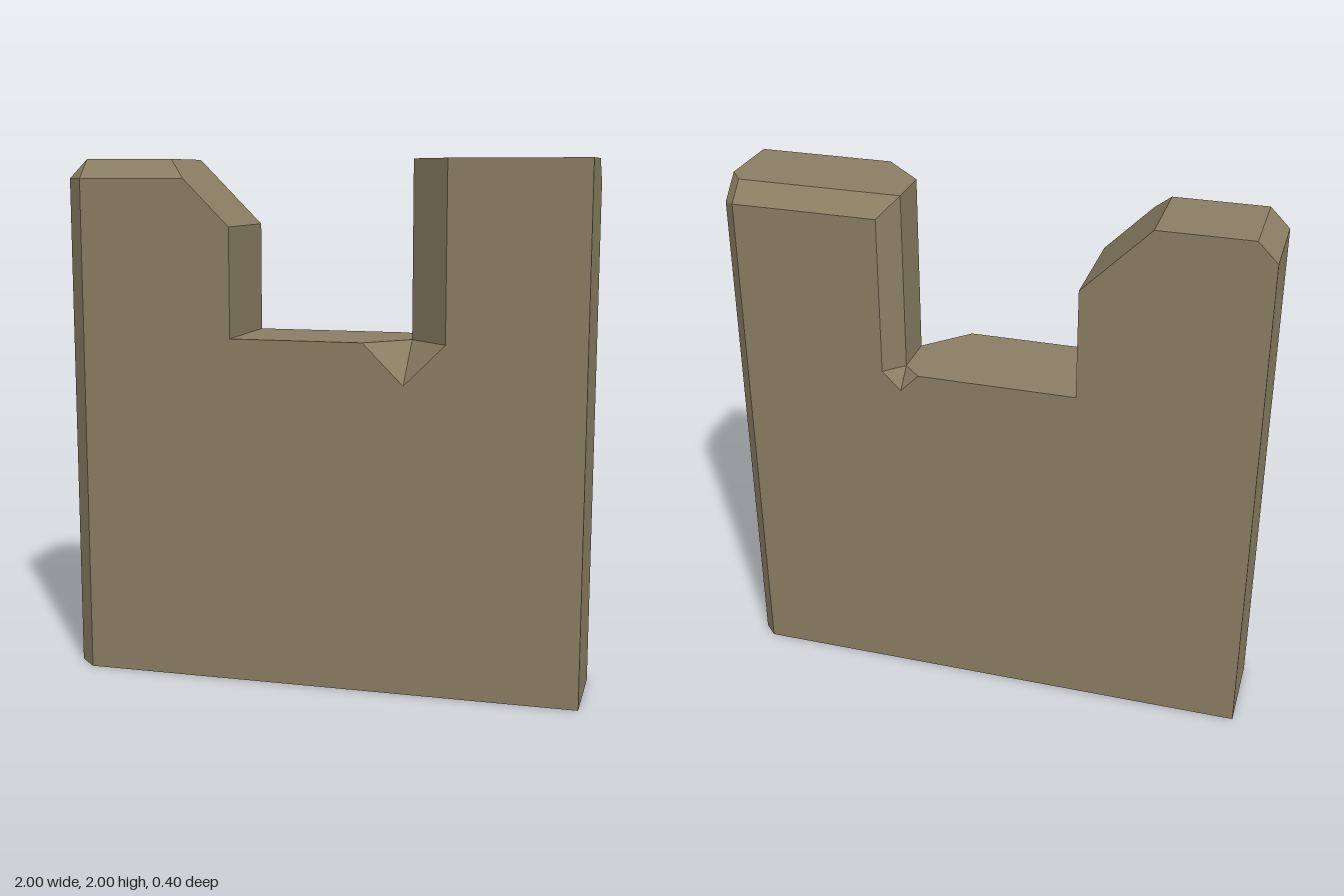
import * as THREE from 'three';

const F = 0.2, B = -0.2;          // front and back planes
const N = 1 / 3, S = 4 / 3;       // notch half width and sill height
const C = 0.073, E = 0.07;        // left merlon bevel, rear bevel
const D = 0.155;                  // front jamb bevel
const SX = -N - 0.25;             // top of the sloped shoulder
const RX = 0.95, RZ = B + 0.05;   // rear right corner bevel
const stone = new THREE.MeshStandardMaterial({ color: 0x8b7f64 });
stone.name = 'stone';

// Flat polygon turned to face the given outward direction
function face(out, pts) {
  const p = pts.map((a) => new THREE.Vector3(...a));
  const n = new THREE.Vector3();
  p.forEach((a, i) => n.add(a.clone().cross(p[(i + 1) % p.length])));
  if (n.dot(new THREE.Vector3(...out)) < 0) { p.reverse(); n.negate(); }
  n.normalize();
  const u = p[1].clone().sub(p[0]).normalize();
  const v = n.clone().cross(u);
  const flat = p.map((a) => new THREE.Vector2(a.dot(u), a.dot(v)));
  const tris = THREE.ShapeUtils.triangulateShape(flat, []);
  return tris.flat().flatMap((i) => p[i].toArray());
}

// One mesh from several [outward direction, corners] faces
function part(name, faces) {
  const g = new THREE.BufferGeometry();
  const data = faces.flatMap(([out, pts]) => face(out, pts));
  g.setAttribute('position', new THREE.Float32BufferAttribute(data, 3));
  g.computeVertexNormals();
  const mesh = new THREE.Mesh(g, stone);
  mesh.name = name;
  return mesh;
}

const atZ = (z, pts) => pts.map(([x, y]) => [x, y, z]);
const atY = (y, pts) => pts.map(([x, z]) => [x, y, z]);
const atX = (x, pts) => pts.map(([y, z]) => [x, y, z]);

export function createModel() {
  const model = new THREE.Group();
  model.name = 'notchedWall';

  // Broad faces, with the notch and its chipped corner in the outline
  model.add(part('frontFace', [[[0, 0, 1], atZ(F, [
    [-1 + C, 0], [1, 0], [1, 2], [N + D, 2], [N + D, S], [N, S - D], [N - D, S],
    [-N, S], [-N, 1.75], [SX + C, 2 - C], [-1 + C, 2 - C]])]]));
  model.add(part('backFace', [[[0, 0, -1], atZ(B, [
    [-1, 0], [RX, 0], [RX, 2 - E], [N + E, 2 - E], [N + E, S], [N, S - E], [N - E, S],
    [-N, S], [-N, 1.75], [SX, 2], [-1 + C, 2], [-1, 2 - C]])]]));

  // Underside and the two ends
  model.add(part('underside', [[[0, -1, 0], atY(0, [
    [-1, B], [-1, F - C], [-1 + C, F], [1, F], [1, RZ], [RX, B]])]]));
  model.add(part('ends', [
    [[-1, 0, 0], atX(-1, [[0, B], [0, F - C], [2 - C, F - C], [2 - C, B]])],
    [[1, 0, 0], atX(1, [[0, F], [0, RZ], [1.915, RZ], [2, -0.065], [2, F]])],
  ]));

  // Tops of the two merlons
  model.add(part('merlonTops', [
    [[0, 1, 0], atY(2, [[-1 + C, B], [-1 + C, F - C], [SX, F - C], [SX, B]])],
    [[0, 1, 0], atY(2, [[N, B + E], [N, F - D], [N + D, F], [1, F], [1, -0.065], [RX, B + E]])],
  ]));

  // Bevels on the merlon at -x, meeting in a small triangle
  model.add(part('slopedMerlonBevels', [
    [[-1, 0, 1], [[-1, 0, F - C], [-1 + C, 0, F], [-1 + C, 2 - C, F], [-1, 2 - C, F - C]]],
    [[-1, 1, 0], [[-1, 2 - C, B], [-1, 2 - C, F - C], [-1 + C, 2, F - C], [-1 + C, 2, B]]],
    [[-1, 1, 1], [[-1, 2 - C, F - C], [-1 + C, 2 - C, F], [-1 + C, 2, F - C]]],
    [[0, 1, 1], [[-1 + C, 2, F - C], [SX, 2, F - C], [SX + C, 2 - C, F], [-1 + C, 2 - C, F]]],
  ]));
  model.add(part('slopedShoulder', [[[1, 1, 0], [
    [SX, 2, B], [SX, 2, F - C], [SX + C, 2 - C, F], [-N, 1.75, F], [-N, 1.75, B]]]]));

  // Notch walls and sill
  model.add(part('notch', [
    [[1, 0, 0], atX(-N, [[S, B], [S, F], [1.75, F], [1.75, B]])],
    [[-1, 0, 0], atX(N, [[S, B + E], [S, F - D], [2, F - D], [2, B + E]])],
    [[0, 1, 0], atY(S, [[-N, B], [-N, F], [N - D, F], [N, F - D], [N, B + E], [N - E, B]])],
  ]));

  // Jamb bevel and chipped pit below it, on the front and the back
  for (const [name, z, d, s, top] of [['front', F, D, 1, 2], ['back', B, E, -1, 2 - E]]) {
    const apex = [N, S, z - s * d];
    model.add(part(name + 'JambBevel', [
      [[-1, 0, s], [apex, [N + d, S, z], [N + d, top, z], [N, 2, z - s * d]]],
      [[1, 1, s], [[N - d, S, z], [N, S - d, z], apex]],
      [[-1, 1, s], [[N + d, S, z], [N, S - d, z], apex]],
    ]));
  }

  // Rear bevels of the merlon at +x
  model.add(part('rearBevels', [
    [[0, 1, -1], [[N, 2, B + E], [RX, 2, B + E], [RX, 2 - E, B], [N + E, 2 - E, B]]],
    [[1, 1, -1], [[RX, 2, B + E], [1, 2, -0.065], [1, 1.915, RZ], [RX, 2 - E, B]]],
    [[1, 0, -1], [[RX, 0, B], [1, 0, RZ], [1, 1.915, RZ], [RX, 2 - E, B]]],
  ]));

  return model;
}
